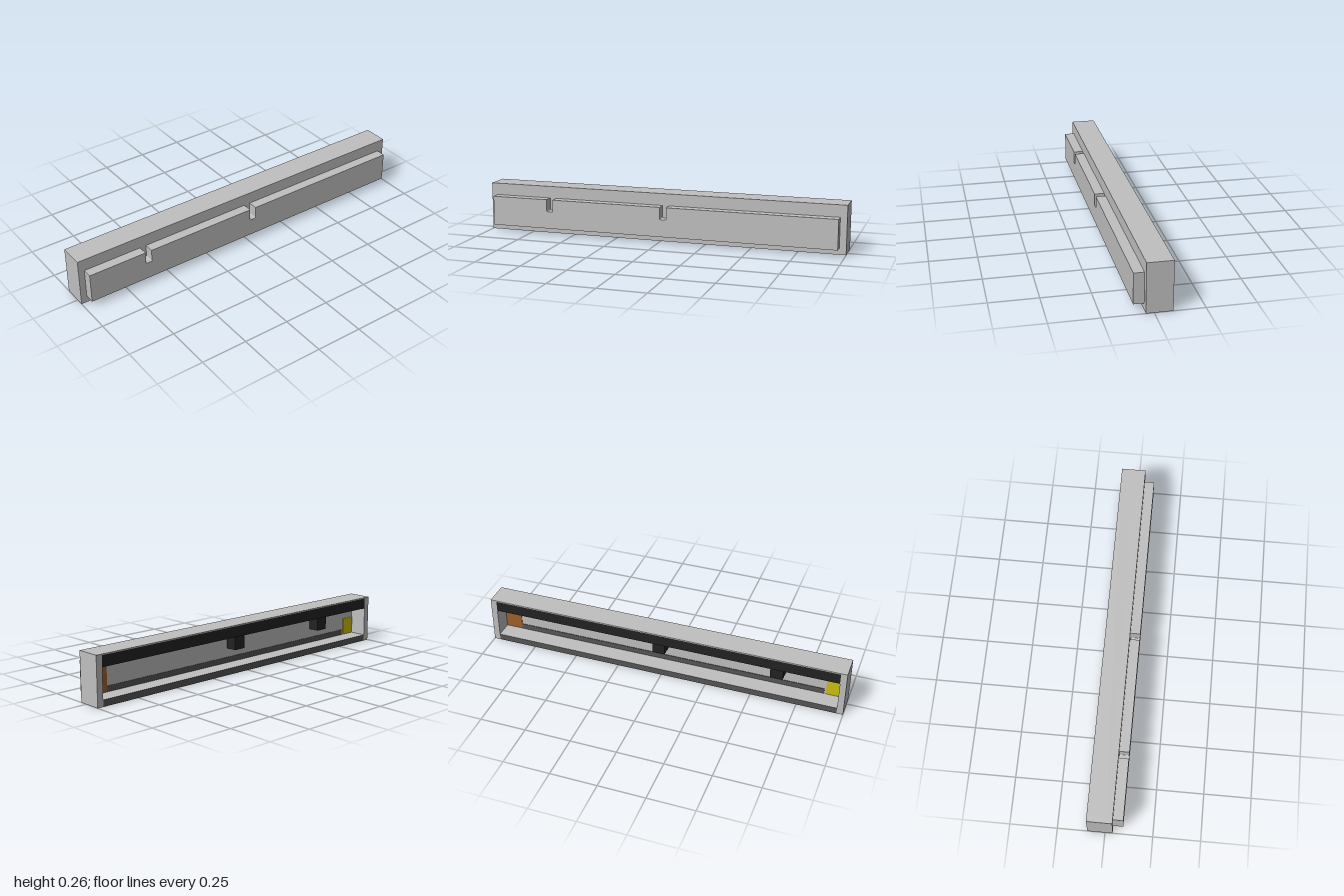
import * as THREE from 'three';

const material = (name, color) => {
  const m = new THREE.MeshStandardMaterial({ color });
  m.name = name;
  return m;
};

export function createModel() {
  const grey = material('lightGrey', 0xc0c0c0);
  const dark = material('darkGrey', 0x565656);
  const black = material('black', 0x222222);
  const orange = material('orange', 0xa0602a);
  const yellow = material('yellow', 0xccc010);

  const group = new THREE.Group();

  // Box given by its lower and upper limits on each axis
  function box(name, mat, [x0, x1], [y0, y1], [z0, z1]) {
    const mesh = new THREE.Mesh(new THREE.BoxGeometry(x1 - x0, y1 - y0, z1 - z0), mat);
    mesh.position.set((x0 + x1) / 2, (y0 + y1) / 2, (z0 + z1) / 2);
    mesh.name = name;
    group.add(mesh);
  }

  const back = -0.092, inner = 0.006, front = 0.04, face = 0.093;
  const top = 0.262, ceiling = 0.197, floor = 0.035, side = 0.966;

  // Housing, open at the back
  box('leftEndWall', grey, [side, 1], [0, top], [back, front]);
  box('rightEndWall', grey, [-1, -side], [0, top], [back, front]);
  box('frontWall', grey, [-side, side], [0, top], [inner, front]);
  box('topSkin', grey, [-side, side], [top - 0.006, top], [back, inner]);
  box('bottomWall', [grey, grey, grey, grey, grey, dark], [-side, side], [0, floor], [back, inner]);

  // Black lining under the top
  box('topLining', black, [-side, side], [ceiling, top - 0.006], [back, inner]);

  // Painted areas on the inside of the front wall
  const plate = [inner - 0.003, inner];
  box('lowerBand', dark, [-0.875, 0.87], [floor, 0.065], plate);
  box('leftPatch', orange, [0.87, side], [floor, ceiling], plate);
  box('rightPatch', yellow, [-side, -0.885], [floor, 0.13], plate);

  // Raised front panel with round-cornered notches along its upper edge
  const notches = [0.0275, -0.6275], half = 0.0175, depth = 0.13, r = 0.006;
  const shape = new THREE.Shape();
  shape.moveTo(-0.967, floor);
  shape.lineTo(0.964, floor);
  shape.lineTo(0.964, ceiling);
  for (const x of notches) {
    shape.lineTo(x + half, ceiling);
    shape.lineTo(x + half, depth + r);
    shape.quadraticCurveTo(x + half, depth, x + half - r, depth);
    shape.lineTo(x - half + r, depth);
    shape.quadraticCurveTo(x - half, depth, x - half, depth + r);
    shape.lineTo(x - half, ceiling);
  }
  shape.lineTo(-0.967, ceiling);
  shape.closePath();
  const panel = new THREE.Mesh(
    new THREE.ExtrudeGeometry(shape, { depth: face - front, bevelEnabled: false, curveSegments: 4 }), grey);
  panel.position.z = front;
  panel.name = 'frontPanel';
  group.add(panel);

  // Black blocks hanging inside behind each notch
  for (const x of notches) {
    box('notchBlock', black, [x - 0.035, x + 0.035], [0.115, ceiling], [-0.057, inner]);
  }

  return group;
}
